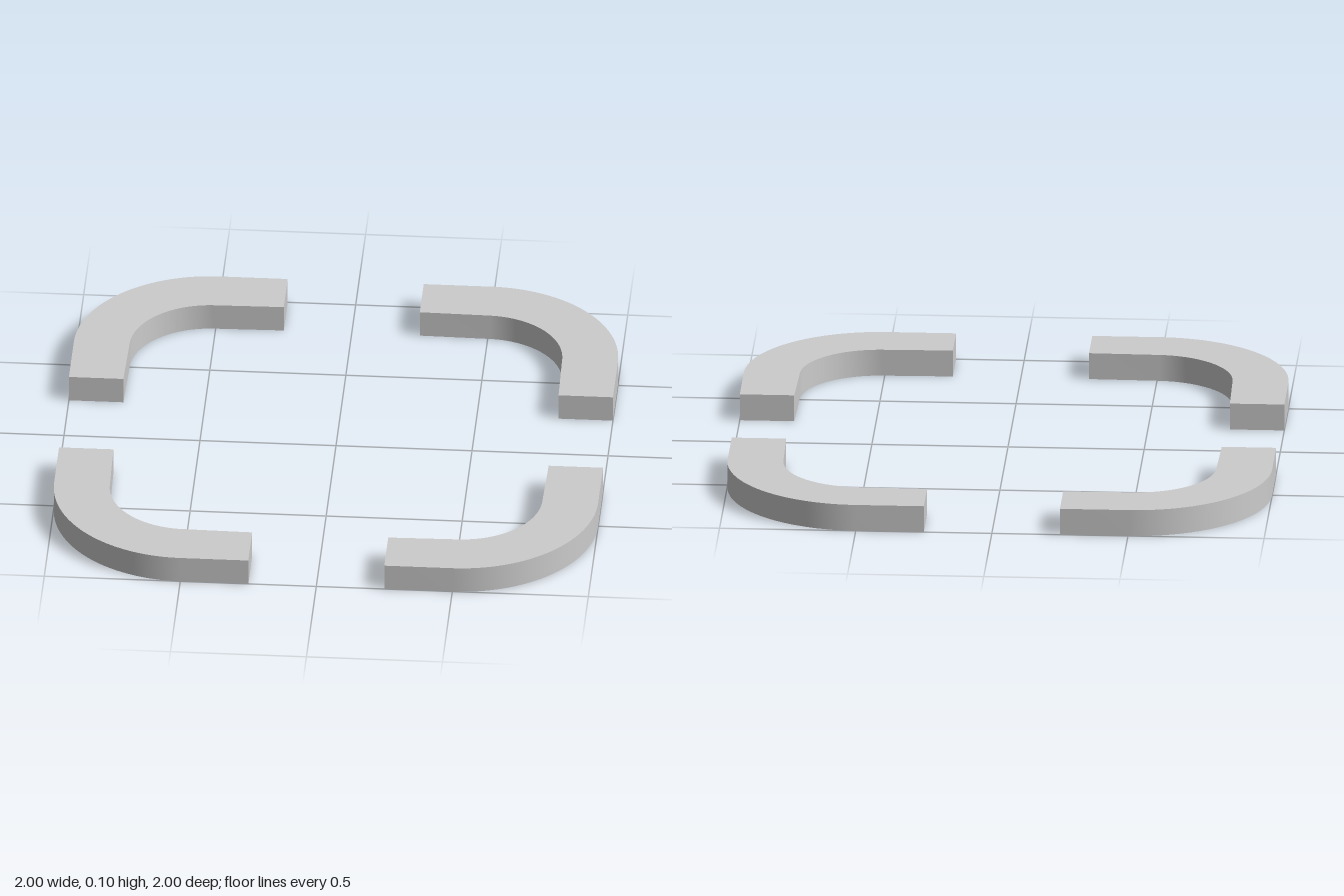
import * as THREE from 'three';
import { toCreasedNormals } from 'three/addons/utils/BufferGeometryUtils.js';

const HEIGHT = 0.1;   // thickness of the ring
const END = 0.25;     // half the gap between neighbouring pieces
const CENTRE = 0.5;   // centre of the corner bend
const OUTER = 1;
const INNER = 0.8;
const BEND_INNER = 0.295;

// One rounded corner bar, lying flat on y = 0
function cornerGeometry() {
  const s = new THREE.Shape();
  s.moveTo(OUTER, END);
  s.lineTo(OUTER, CENTRE);
  s.absarc(CENTRE, CENTRE, OUTER - CENTRE, 0, Math.PI / 2, false);
  s.lineTo(END, OUTER);
  s.lineTo(END, INNER);
  s.lineTo(CENTRE, CENTRE + BEND_INNER);
  s.absarc(CENTRE, CENTRE, BEND_INNER, Math.PI / 2, 0, true);
  s.lineTo(INNER, END);
  s.closePath();
  const g = new THREE.ExtrudeGeometry(s, { depth: HEIGHT, bevelEnabled: false, curveSegments: 24 });
  g.rotateX(-Math.PI / 2);
  return toCreasedNormals(g, Math.PI / 6);
}

export function createModel() {
  const model = new THREE.Group();
  model.name = 'cornerRing';
  const grey = new THREE.MeshStandardMaterial({ color: 0xcccccc });
  grey.name = 'light grey';

  // Four identical corners, a quarter turn apart
  const geometry = cornerGeometry();
  const names = ['backLeftCorner', 'backRightCorner', 'frontRightCorner', 'frontLeftCorner'];
  names.forEach((name, i) => {
    const corner = new THREE.Mesh(geometry, grey);
    corner.name = name;
    corner.rotation.y = i * Math.PI / 2;
    model.add(corner);
  });
  return model;
}
